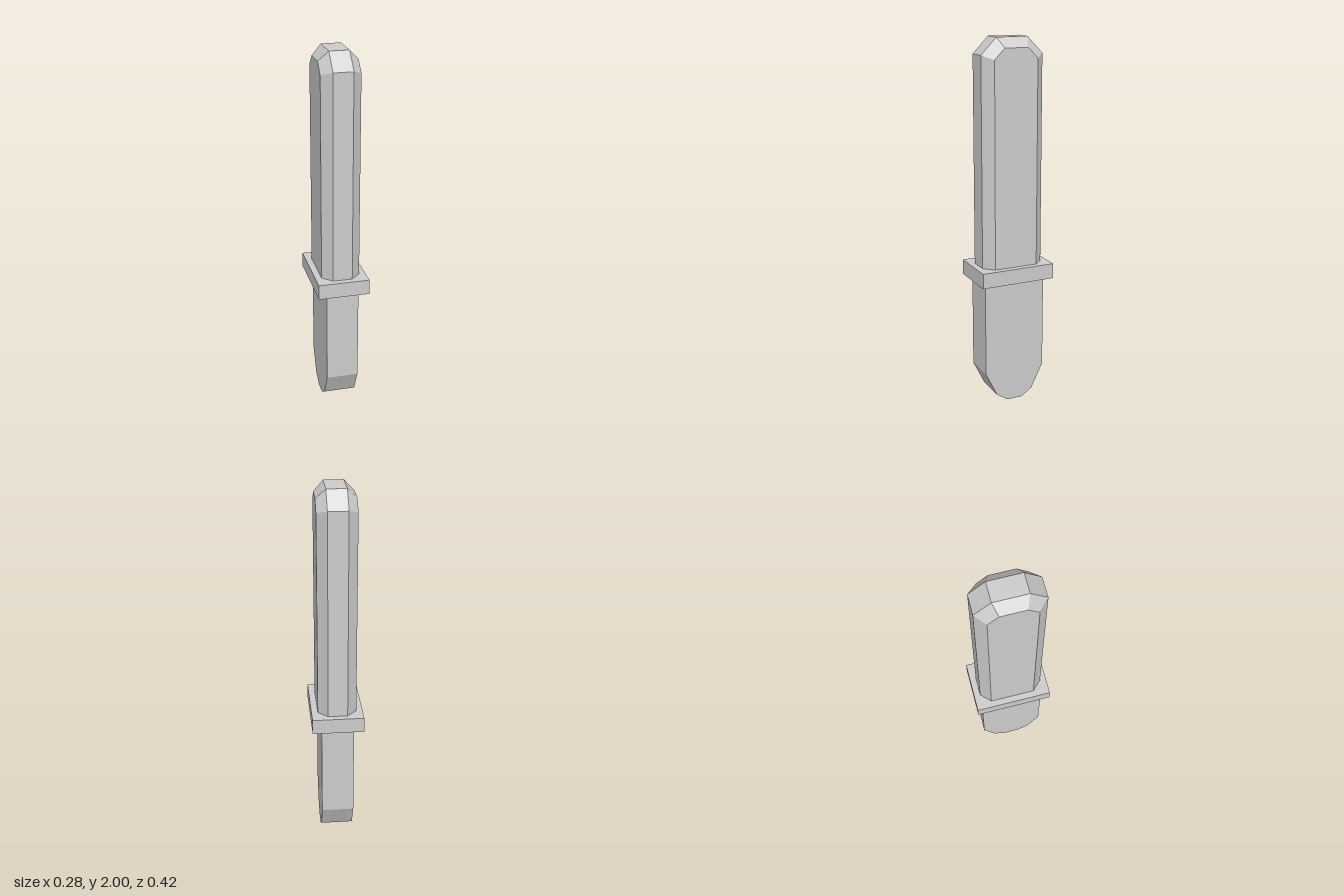
import * as THREE from 'three';

const material = new THREE.MeshStandardMaterial({ color: 0xcccccc, flatShading: true });

// Mirrors a half outline (z, y) into a closed side profile and extrudes it across x
function profilePart(name, half, depth, bevel) {
  const points = [...half, ...half.map(([z, y]) => [-z, y]).reverse()];
  const shape = new THREE.Shape(points.map(([z, y]) => new THREE.Vector2(z, y)));
  const geometry = new THREE.ExtrudeGeometry(shape, {
    depth,
    bevelEnabled: bevel > 0,
    bevelSize: bevel,
    bevelThickness: bevel,
    bevelSegments: 1,
  });
  geometry.translate(0, 0, -depth / 2);
  geometry.rotateY(Math.PI / 2);
  const mesh = new THREE.Mesh(geometry, material);
  mesh.name = name;
  return mesh;
}

export function createModel() {
  const group = new THREE.Group();
  group.name = 'dagger';

  // Thick blade with chamfered edges and a blunt tip; its base sits in the guard
  group.add(profilePart('blade', [[0.122, 0.78], [0.122, 1.891], [0.066, 1.948]], 0.105, 0.052));

  // Rectangular guard
  const guard = new THREE.Mesh(new THREE.BoxGeometry(0.278, 0.083, 0.417), material);
  guard.name = 'guard';
  guard.position.y = 0.742;
  group.add(guard);

  // Flat-sided grip with a faceted, rounded end
  group.add(profilePart('grip', [[0.044, 0], [0.107, 0.042], [0.174, 0.178], [0.174, 0.702]], 0.176, 0));

  return group;
}
